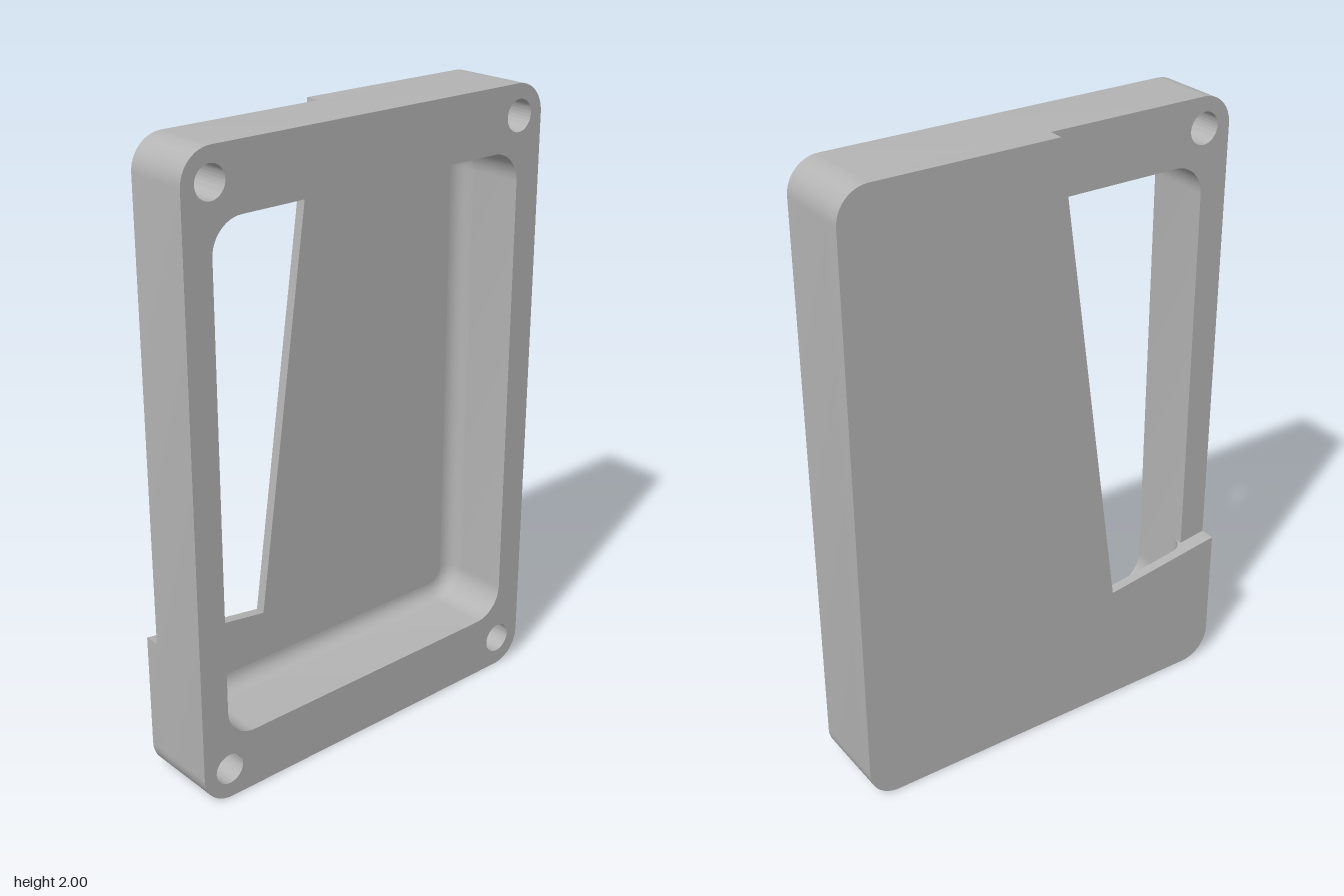
import * as THREE from 'three';
import { toCreasedNormals } from 'three/addons/utils/BufferGeometryUtils.js';

// Depth levels and fillet radius
const FRONT = 0.133, BACK = -0.133, STEP = -0.083, FLOOR = -0.1, FILLET = 0.05;
const NOTCH = new THREE.Vector2(-0.253, 0.413);

// The two straight edges of the notch in the back plate
const notchY = x => NOTCH.y + (NOTCH.x - x) * 0.146;
const notchX = y => NOTCH.x + (y - NOTCH.y) * 0.1428;

function arc(cx, cy, r, start, steps = 12) {
  return Array.from({ length: steps + 1 }, (_, i) => {
    const a = start + (i / steps) * Math.PI / 2;
    return new THREE.Vector2(cx + r * Math.cos(a), cy + r * Math.sin(a));
  });
}

// Rounded rectangle without the notch: left edge, round the bottom and right, to the top edge
function openPath(h, y0, y1, r) {
  return [
    new THREE.Vector2(-h, notchY(-h)),
    ...arc(-h + r, y0 + r, r, Math.PI),
    ...arc(h - r, y0 + r, r, Math.PI * 1.5),
    ...arc(h - r, y1 - r, r, 0),
    new THREE.Vector2(notchX(y1), y1),
  ];
}

// Full rounded rectangle
function closedPath(h, y0, y1, r) {
  const pts = openPath(h, y0, y1, r).slice(1, -1);
  return [...pts, ...arc(-h + r, y1 - r, r, Math.PI / 2)];
}

const cavityPath = d => openPath(0.575 - d, 0.2 + d, 1.8 - d, 0.1 - d);

function slab(shape, z0, z1) {
  const geo = new THREE.ExtrudeGeometry(shape, { depth: z1 - z0, bevelEnabled: false, curveSegments: 32 });
  geo.translate(0, 0, z0);
  return toCreasedNormals(geo, 0.5);
}

// Concave fillet between cavity walls and floor, capped at the notch
function filletGeometry() {
  const steps = 8, rows = [], pos = [];
  for (let k = 0; k <= steps; k++) {
    const a = (k / steps) * Math.PI / 2;
    const z = FLOOR + FILLET * (1 - Math.sin(a));
    rows.push(cavityPath(FILLET * (1 - Math.cos(a))).map(p => [p.x, p.y, z]));
  }
  const tri = (a, b, c) => pos.push(...a, ...b, ...c);
  const last = rows[0].length - 1;
  const root = i => [rows[0][i][0], rows[0][i][1], FLOOR];
  for (let k = 0; k < steps; k++) {
    const lo = rows[k], hi = rows[k + 1];
    for (let i = 0; i < last; i++) {
      tri(lo[i], lo[i + 1], hi[i + 1]);
      tri(lo[i], hi[i + 1], hi[i]);
    }
    tri(root(0), lo[0], hi[0]);
    tri(root(last), hi[last], lo[last]);
  }
  const geo = new THREE.BufferGeometry();
  geo.setAttribute('position', new THREE.Float32BufferAttribute(pos, 3));
  return toCreasedNormals(geo, 0.5);
}

export function createModel() {
  const group = new THREE.Group();
  group.name = 'notchedEnclosure';
  const grey = new THREE.MeshStandardMaterial({ color: 0xb4b4b4 });
  grey.name = 'plain grey';
  const add = (name, geo) => {
    const mesh = new THREE.Mesh(geo, grey);
    mesh.name = name;
    group.add(mesh);
  };

  // Frame with the cavity and four corner screw holes
  const frame = new THREE.Shape(closedPath(0.669, 0, 2, 0.1));
  frame.holes.push(new THREE.Path(closedPath(0.575, 0.2, 1.8, 0.1)));
  for (const x of [-0.575, 0.575]) {
    for (const y of [0.1, 1.903]) {
      frame.holes.push(new THREE.Path().absarc(x, y, 0.05, 0, Math.PI * 2, true));
    }
  }
  add('frame', slab(frame, STEP, FRONT));

  // Back plate: a rim around the cavity and a thin floor, both cut by the notch
  const outer = openPath(0.669, 0, 2, 0.1);
  add('backRim', slab(new THREE.Shape([...outer, ...cavityPath(0).reverse()]), FLOOR, STEP));
  add('backFloor', slab(new THREE.Shape([...outer, NOTCH.clone()]), BACK, FLOOR));
  add('floorFillet', filletGeometry());

  return group;
}
